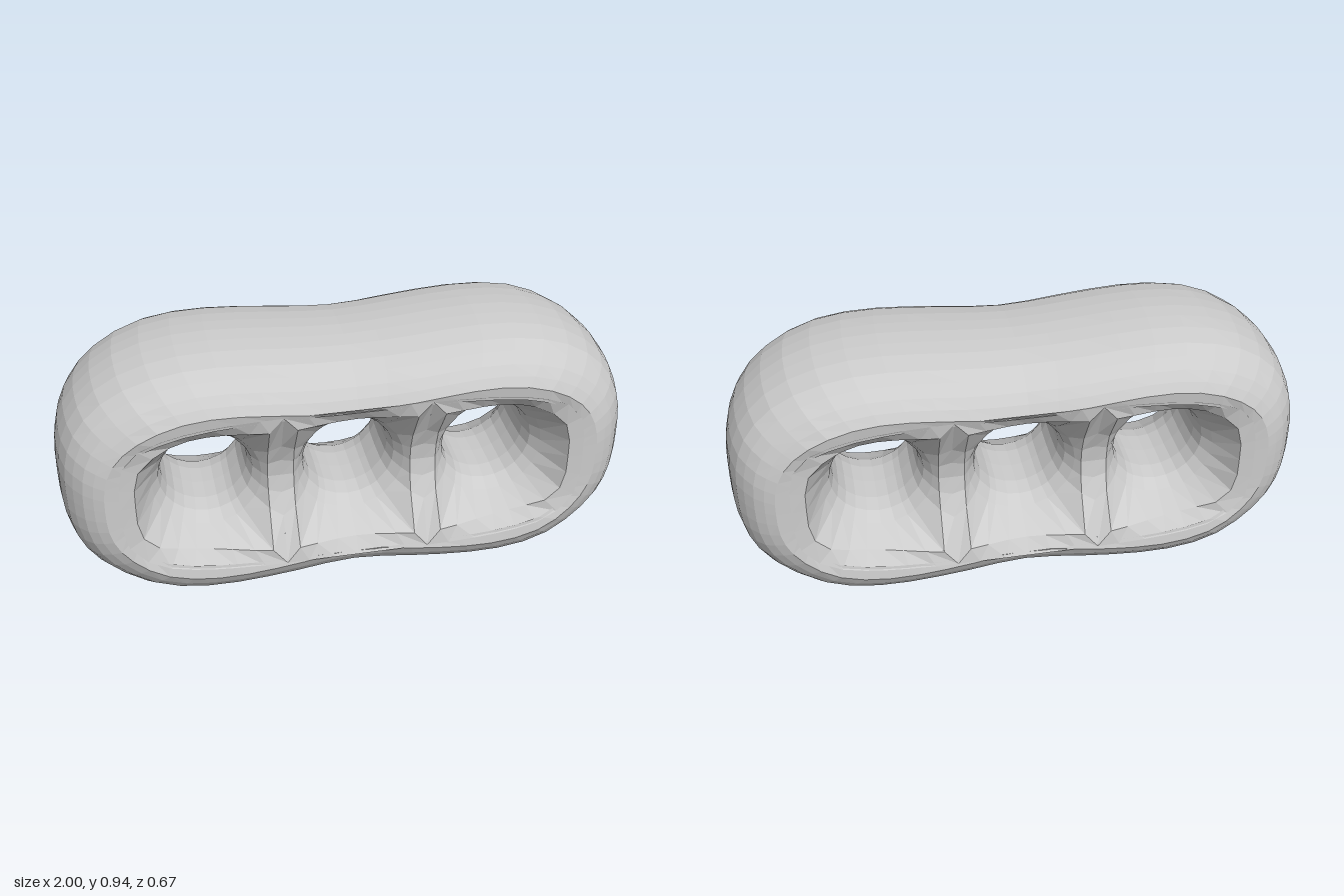
import * as THREE from 'three';

const CY = 0.465; // height of the centre line
const material = new THREE.MeshStandardMaterial({ color: 0xcccccc, flatShading: true });
const smooth = (v, a, b) => THREE.MathUtils.smoothstep(Math.abs(v), a, b);

// Joins equal-length closed loops of [x, y, z] points into a surface
function loft(loops, name) {
  const n = loops[0].length, index = [];
  for (let r = 0; r < loops.length - 1; r++) {
    for (let i = 0; i < n; i++) {
      const a = r * n + i, b = r * n + (i + 1) % n;
      index.push(a, b, a + n, b, b + n, a + n);
    }
  }
  const geometry = new THREE.BufferGeometry();
  geometry.setAttribute('position', new THREE.Float32BufferAttribute(loops.flat(2), 3));
  geometry.setIndex(index);
  geometry.computeVertexNormals();
  const mesh = new THREE.Mesh(geometry, material);
  mesh.name = name;
  return mesh;
}

const loop = (n, fn) => Array.from({ length: n }, (_, i) => fn(i / n * Math.PI * 2));

// Unit rounded rectangle
function rounded(t, n) {
  const c = Math.cos(t), s = Math.sin(t);
  const r = (Math.abs(c) ** n + Math.abs(s) ** n) ** (-1 / n);
  return [c * r, s * r];
}

// Face of the block: level near the rim, curving inwards along the dividers
function faceDepth(x, y) {
  const hollow = Math.max(0, 1 - ((y - CY) / 0.24) ** 2) * (1 - smooth(x, 0.55, 0.8));
  return 0.33 - 0.015 * smooth(x, 0.65, 0.85) - 0.11 * hollow;
}

// Outer body: inset and depth pairs from the middle to the front rim
function makeBody() {
  const half = [[0, 0], [0.003, 0.065], [0.01, 0.13], [0.028, 0.205], [0.052, 0.25],
    [0.082, 0.29], [0.115, 0.315], [0.15, 0.333]];
  const n = 56;
  const ring = ([d, z], side) => loop(n, (t) => {
    const [u, v] = rounded(t, 2.7);
    const x = u * (1 - d);
    const waist = 0.44 + 0.091 * smooth(u, 0, 0.85);
    const depth = z * (0.96 + 0.04 * smooth(x, 0, 0.25) - 0.05 * smooth(x, 0.65, 0.85));
    return [x, CY + v * (waist - d), side * depth];
  });
  // Inner lip, tucked just under the edge of the pockets
  const lip = (side) => loop(n, (t) => {
    const [u, v] = rounded(t, 4);
    const x = u * 0.785, y = CY + v * 0.287;
    return [x, y, side * (faceDepth(x, y) - 0.004)];
  });
  const back = half.slice(1).reverse().map((p) => ring(p, -1));
  const front = half.map((p) => ring(p, 1));
  return loft([lip(-1), ...back, ...front, lip(1)], 'body');
}

// One round tunnel flaring to its cell of the face, half of each divider included
function makePocket(cx, side) {
  // Rays from the tunnel axis, with one exactly through each divider corner
  const angles = loop(24, (t) => {
    const c = Math.cos(t), s = Math.sin(t);
    const diagonal = Math.abs(Math.abs(c) - Math.abs(s)) < 0.01;
    return diagonal && c * cx <= 0 ? Math.atan2(Math.sign(s) * 0.2993, Math.sign(c) * 0.25) : t;
  });
  // Distance from the axis to the cell border
  const reach = (t, sx, sy, wall) => {
    let lo = 0, hi = 1;
    for (let i = 0; i < 30; i++) {
      const r = (lo + hi) / 2, x = cx + r * Math.cos(t), y = r * Math.sin(t);
      const inWindow = Math.abs(x / sx) ** 4 + Math.abs(y / sy) ** 4 < 1;
      const inCell = cx === 0 ? Math.abs(x) < 0.25 - wall : x * Math.sign(cx) > 0.25 + wall;
      if (inWindow && inCell) lo = r; else hi = r;
    }
    return lo;
  };
  const point = (t, r, z) => [cx + r * Math.cos(t), CY + r * Math.sin(t), z];
  const border = (t, sx, sy, wall, drop) => {
    const r = reach(t, sx, sy, wall);
    const [x, y] = point(t, r, 0);
    return point(t, r, faceDepth(x, y) - drop);
  };
  const tunnel = [[0.15, 0], [0.152, 0.09], [0.163, 0.15], [0.188, 0.195]];
  const rings = tunnel.map(([r, z]) => angles.map((t) => point(t, r, z)));
  rings.push(angles.map((t) => border(t, 0.75, 0.244, 0.045, 0.035 * Math.max(0, -Math.cos(2 * t)))));
  rings.push(angles.map((t) => border(t, 0.8, 0.3, 0, 0)));
  // Loops run inwards at the front and outwards at the back
  if (side > 0) rings.reverse();
  else rings.forEach((r) => r.forEach((p) => { p[2] *= -1; }));
  return loft(rings, side > 0 ? 'frontPocket' : 'backPocket');
}

export function createModel() {
  const group = new THREE.Group();
  group.name = 'threeHoleBlock';
  group.add(makeBody());
  for (const cx of [-0.5, 0, 0.5]) {
    for (const side of [1, -1]) group.add(makePocket(cx, side));
  }
  return group;
}
